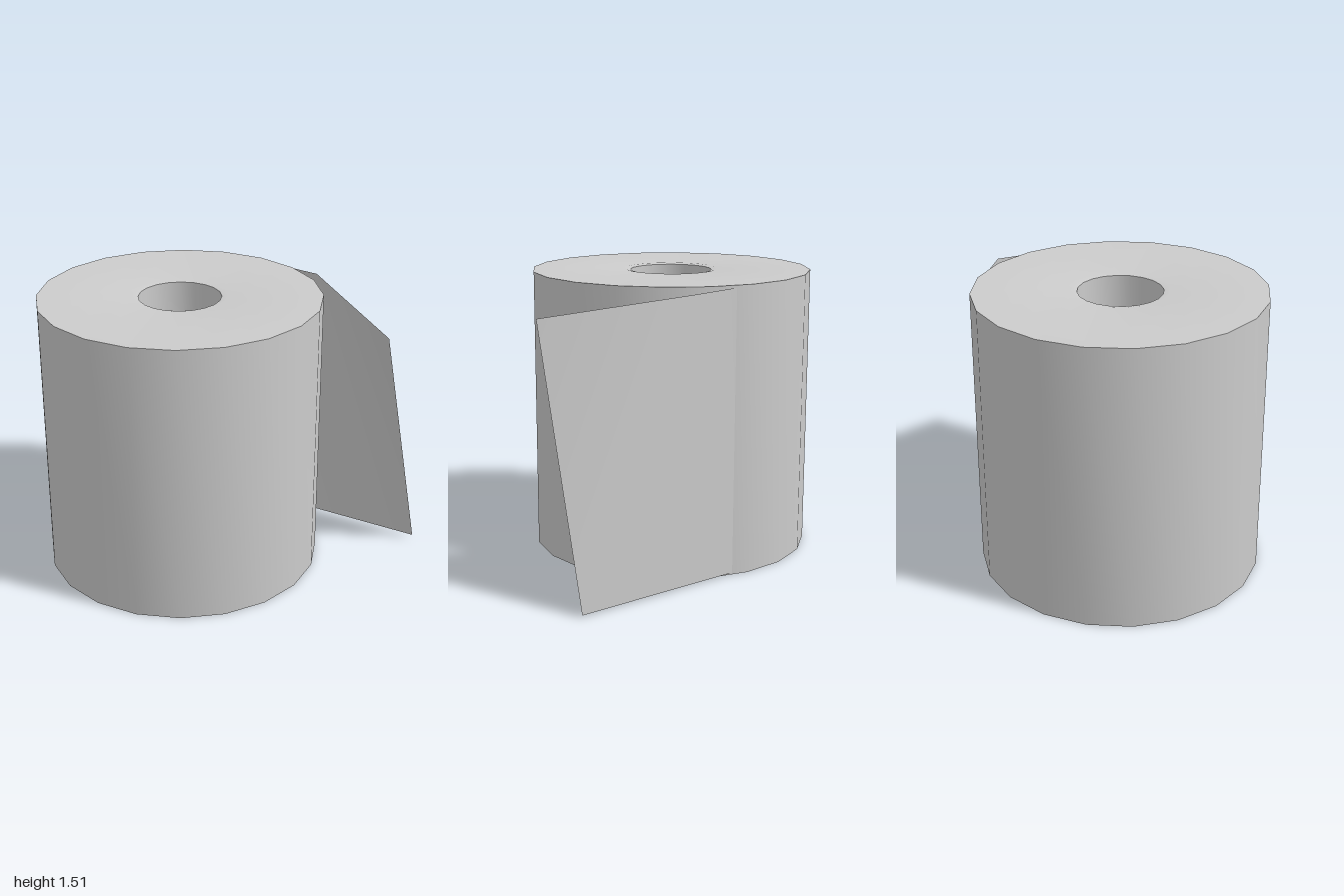
import * as THREE from 'three';
import { toCreasedNormals } from 'three/addons/utils/BufferGeometryUtils.js';

const HEIGHT = 1.515, RADIUS = 0.755, HOLE = 0.22, SIDES = 20;

// Paper roll: a closed ring profile with a shallow bevel around the hole
function createRoll(material) {
  const rim = 0.25, dip = 0.006;
  const profile = [
    [RADIUS, 0], [RADIUS, HEIGHT], [rim, HEIGHT], [HOLE, HEIGHT - dip],
    [HOLE, dip], [rim, 0], [RADIUS, 0],
  ].map(([r, y]) => new THREE.Vector2(r, y));
  const geometry = toCreasedNormals(new THREE.LatheGeometry(profile, SIDES), Math.PI / 6);
  const roll = new THREE.Mesh(geometry, material);
  roll.name = 'paperRoll';
  roll.position.x = -0.245;
  return roll;
}

// Loose sheet: leaves the roll at the back and folds forward along a diagonal
function createSheet(material) {
  const corners = [
    [0.07, 0.01, -0.678], // bottom, at the roll
    [0.07, 1.502, -0.678], // top, at the roll
    [0.34, 1.49, -0.615], // top of the fold
    [0.995, 0.01, -0.475], // bottom of the fold
    [0.86, 1.38, -0.065], // free corner
  ];
  const geometry = new THREE.BufferGeometry();
  geometry.setAttribute('position', new THREE.Float32BufferAttribute(corners.flat(), 3));
  geometry.setIndex([0, 1, 2, 0, 2, 3, 3, 2, 4]);
  geometry.computeVertexNormals();
  const sheet = new THREE.Mesh(geometry, material);
  sheet.name = 'looseSheet';
  return sheet;
}

export function createModel() {
  const group = new THREE.Group();
  group.name = 'toiletPaper';
  group.add(
    createRoll(new THREE.MeshStandardMaterial({ color: 0xcccccc })),
    createSheet(new THREE.MeshStandardMaterial({ color: 0xcccccc, side: THREE.DoubleSide })),
  );
  return group;
}
